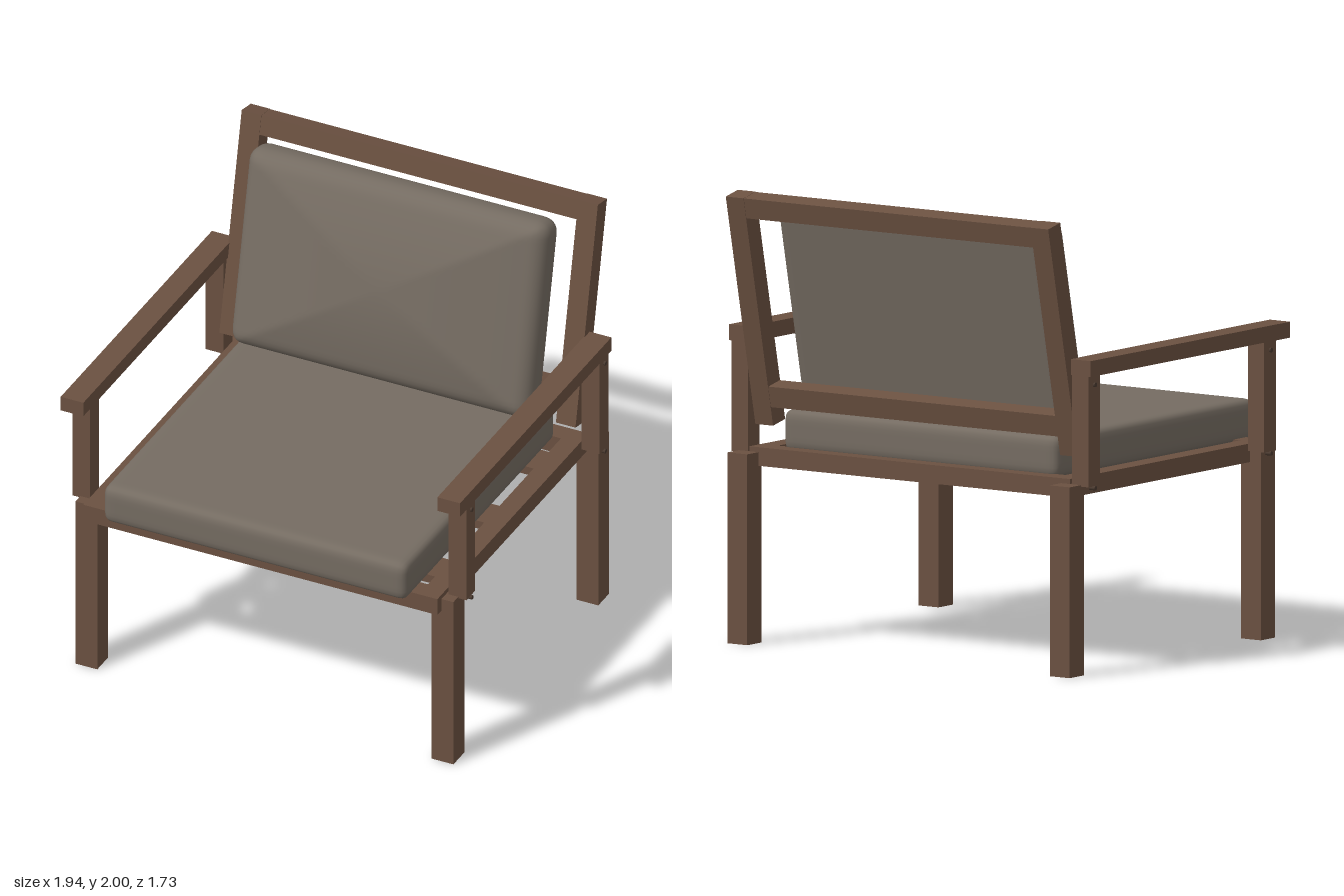
import * as THREE from 'three';
import { mergeVertices } from 'three/addons/utils/BufferGeometryUtils.js';

const wood = new THREE.MeshStandardMaterial({ color: 0x6b5141 });
const fabric = new THREE.MeshStandardMaterial({ color: 0x756c62 });
const metal = new THREE.MeshStandardMaterial({ color: 0x4a3a30 });

// Wooden bar given by its extents along each axis
function bar(name, [x0, x1], [y0, y1], [z0, z1]) {
  const mesh = new THREE.Mesh(new THREE.BoxGeometry(x1 - x0, y1 - y0, z1 - z0), wood);
  mesh.position.set((x0 + x1) / 2, (y0 + y1) / 2, (z0 + z1) / 2);
  mesh.name = name;
  return mesh;
}

// Rounded cushion; bulge swells the +z face towards its middle
function cushion(name, w, h, d, r, bulge = 0) {
  const seg = (s) => Math.max(8, Math.round(s / 0.022));
  const geo = new THREE.BoxGeometry(w, h, d, seg(w), seg(h), seg(d));
  const pos = geo.attributes.position;
  const half = new THREE.Vector3(w / 2 - r, h / 2 - r, d / 2 - r);
  const p = new THREE.Vector3(), core = new THREE.Vector3();
  for (let i = 0; i < pos.count; i++) {
    p.fromBufferAttribute(pos, i);
    core.copy(p).clamp(half.clone().negate(), half);
    p.sub(core).setLength(r).add(core);
    const edge = Math.min(1, Math.max(Math.abs(p.x) / (w / 2), Math.abs(p.y) / (h / 2)));
    const front = THREE.MathUtils.clamp(p.z / d + 0.5, 0, 1);
    p.z += bulge * (1 - edge ** 1.7) * front;
    pos.setXYZ(i, p.x, p.y, p.z);
  }
  geo.deleteAttribute('uv');
  geo.deleteAttribute('normal');
  const smooth = mergeVertices(geo, 1e-5);
  smooth.computeVertexNormals();
  const mesh = new THREE.Mesh(smooth, fabric);
  mesh.name = name;
  return mesh;
}

export function createModel() {
  const chair = new THREE.Group();
  chair.name = 'armchair';
  const tilt = -0.212;

  // Seat frame: cross rails and slats
  const seatFrame = new THREE.Group();
  seatFrame.name = 'seatFrame';
  seatFrame.add(bar('frontRail', [-0.86, 0.86], [0.78, 0.862], [0.71, 0.8]));
  seatFrame.add(bar('backRail', [-0.86, 0.86], [0.78, 0.862], [-0.69, -0.6]));
  for (const z of [0.535, 0.05, -0.435]) {
    seatFrame.add(bar('slat', [-0.78, 0.78], [0.8, 0.84], [z - 0.075, z + 0.075]));
  }
  chair.add(seatFrame);

  // Reclined back frame, origin at the centre of the stiles
  const backFrame = new THREE.Group();
  backFrame.name = 'backFrame';
  backFrame.position.set(0, 1.477, -0.705);
  backFrame.rotation.x = tilt;
  backFrame.add(bar('topRail', [-0.84, 0.84], [0.432, 0.524], [-0.044, 0.044]));
  backFrame.add(bar('lowerRail', [-0.84, 0.84], [-0.44, -0.345], [-0.044, 0.044]));
  chair.add(backFrame);

  // Mirrored parts
  for (const s of [1, -1]) {
    const side = s > 0 ? 'left' : 'right';
    const span = (a, b) => (s > 0 ? [a, b] : [-b, -a]);
    seatFrame.add(bar(side + 'SideRail', span(0.77, 0.86), [0.78, 0.862], [-0.6, 0.71]));
    backFrame.add(bar(side + 'Stile', span(0.77, 0.865), [-0.525, 0.525], [-0.046, 0.046]));
    chair.add(bar(side + 'Armrest', span(0.86, 0.97), [1.32, 1.39], [-0.69, 0.8]));
    chair.add(bar(side + 'FrontLeg', span(0.812, 0.918), [0, 0.84], [0.653, 0.76]));
    chair.add(bar(side + 'BackLeg', span(0.812, 0.918), [0, 0.84], [-0.774, -0.667]));
    for (const z of [0.668, -0.645]) {
      chair.add(bar(side + 'ArmPost', span(0.87, 0.957), [0.833, 1.322], [z - 0.044, z + 0.044]));
      // Screw heads on the outside of each post
      for (const y of [1.28, 0.825]) {
        const screw = new THREE.Mesh(new THREE.CylinderGeometry(0.01, 0.01, 0.03, 12), metal);
        screw.rotation.z = Math.PI / 2;
        screw.position.set(s * 0.951, y, z);
        screw.name = side + 'Screw';
        chair.add(screw);
      }
    }
  }

  // Cushions
  const seat = cushion('seatCushion', 1.475, 0.186, 1.485, 0.04);
  seat.position.set(0, 0.935, 0.123);
  chair.add(seat);

  const back = cushion('backCushion', 1.46, 0.925, 0.165, 0.065, 0.087);
  back.position.set(0, 1.507, -0.524);
  back.rotation.x = tilt;
  chair.add(back);

  return chair;
}
